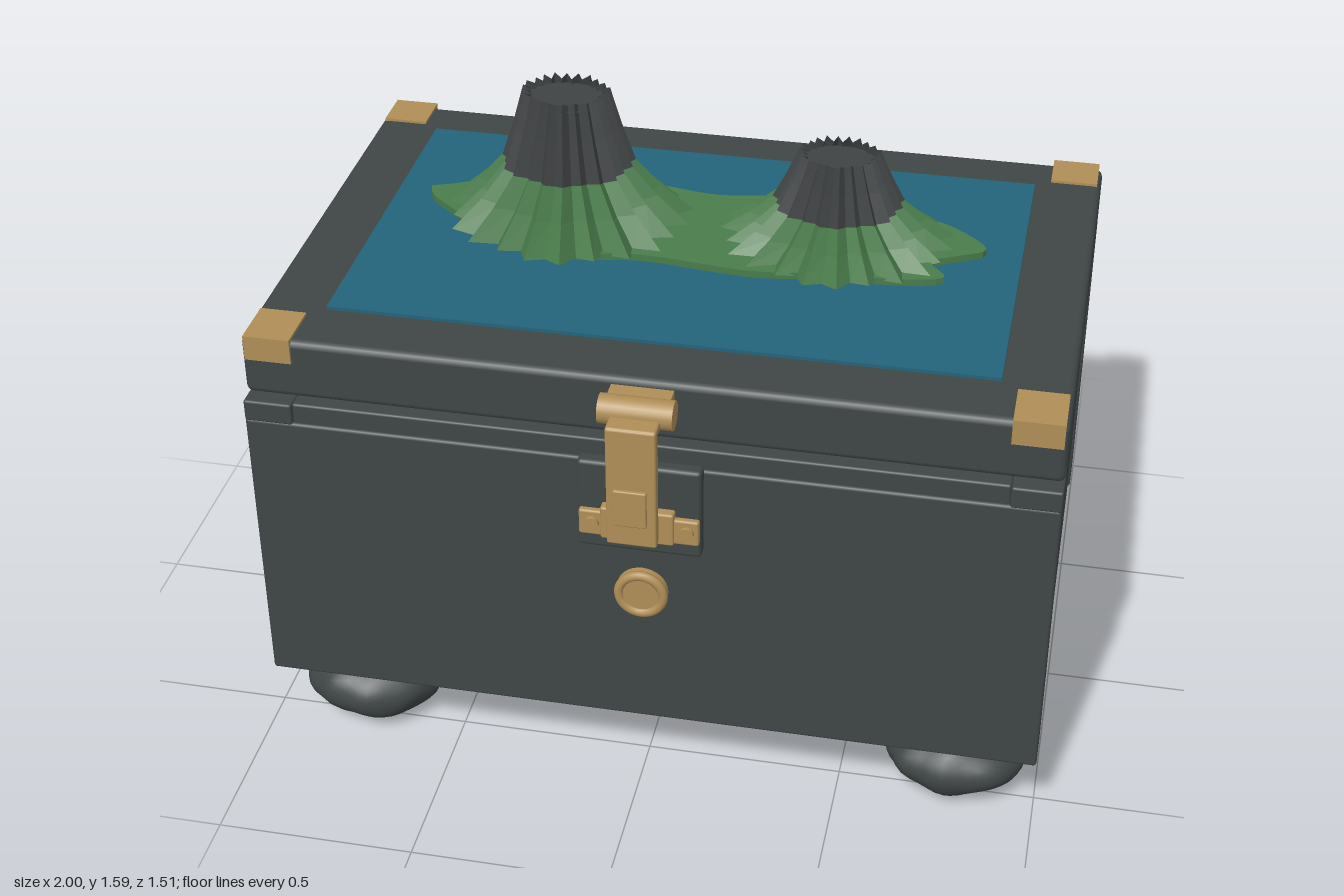
import * as THREE from 'three';
import { mergeVertices } from 'three/addons/utils/BufferGeometryUtils.js';
import { RoundedBoxGeometry } from 'three/addons/geometries/RoundedBoxGeometry.js';

const mat = (name, color, extra = {}) =>
  Object.assign(new THREE.MeshStandardMaterial({ color, ...extra }), { name });

export function createModel() {
  const root = new THREE.Group();
  root.name = 'chest';
  const charcoal = mat('charcoal wood', 0x404646);
  const brass = mat('brass', 0xb08f58);
  const sea = mat('sea blue', 0x24647a);
  const grass = mat('grass green', 0x4a7c4b, { flatShading: true, side: THREE.DoubleSide });
  const rock = mat('rock grey', 0x404344, { flatShading: true, side: THREE.DoubleSide });

  const add = (name, geometry, material, x = 0, y = 0, z = 0) => {
    const m = new THREE.Mesh(geometry, material);
    m.name = name;
    m.position.set(x, y, z);
    root.add(m);
    return m;
  };
  // Box given by its limits, with an optional rounded edge
  const box = (name, material, [x0, x1], [y0, y1], [z0, z1], r = 0) => {
    const s = [x1 - x0, y1 - y0, z1 - z0];
    const g = r ? new RoundedBoxGeometry(...s, 2, r) : new THREE.BoxGeometry(...s);
    return add(name, g, material, (x0 + x1) / 2, (y0 + y1) / 2, (z0 + z1) / 2);
  };
  const L = -0.965, R = 1.0, MID = 0.0175;

  // Chest body made of boards around a hollow
  box('frontBoard', charcoal, [L, R], [0.22, 0.995], [0.53, 0.63], 0.008);
  box('backBoard', charcoal, [L, R], [0.22, 0.995], [-0.675, -0.575], 0.008);
  box('rightBoard', charcoal, [L + 0.006, L + 0.1], [0.22, 0.995], [-0.575, 0.53]);
  box('leftBoard', charcoal, [R - 0.1, R - 0.006], [0.22, 0.995], [-0.575, 0.53]);
  box('floor', charcoal, [L + 0.09, R - 0.09], [0.225, 0.26], [-0.58, 0.535]);
  box('plinth', charcoal, [-0.885, 0.915], [0.185, 0.225], [-0.58, 0.535], 0.008);

  // Rim: four corner blocks with rails between them
  for (const [x0, x1] of [[L, L + 0.12], [R - 0.12, R]]) {
    box('rimCorner', charcoal, [x0, x1], [0.99, 1.047], [0.525, 0.63], 0.006);
    box('rimCorner', charcoal, [x0, x1], [0.99, 1.047], [-0.675, -0.572], 0.006);
    box('rimSideRail', charcoal, [x0 + 0.008, x1 - 0.008], [0.99, 1.047], [-0.562, 0.515], 0.006);
  }
  box('rimFrontRail', charcoal, [L + 0.12, R - 0.12], [0.99, 1.047], [0.53, 0.622], 0.006);
  box('rimBackRail', charcoal, [L + 0.12, R - 0.12], [0.99, 1.047], [-0.667, -0.575], 0.006);

  // Lid with brass corners and a flat sea panel
  box('lid', charcoal, [L, R], [1.055, 1.213], [-0.647, 0.605], 0.018);
  for (const [x0, x1] of [[-0.955, -0.84], [0.87, 0.99]]) {
    box('cornerPlate', brass, [x0, x1], [1.2, 1.22], [0.48, 0.612]);
    box('cornerPlate', brass, [x0, x1], [1.2, 1.22], [-0.655, -0.54]);
    box('cornerFlap', brass, [x0, x1], [1.155, 1.22], [0.59, 0.612]);
    box('cornerFlap', brass, [x0, x1], [1.155, 1.22], [-0.655, -0.63]);
  }
  box('seaPanel', sea, [-0.8, 0.83], [1.205, 1.222], [-0.505, 0.445]);

  // Island outline, drawn in x and z
  const shore = [
    [-0.71, -0.16], [-0.62, -0.2], [-0.5, -0.29], [-0.3, -0.3], [-0.13, -0.28], [0.03, -0.255],
    [0.19, -0.28], [0.4, -0.29], [0.57, -0.24], [0.66, -0.195], [0.74, -0.11], [0.67, -0.06],
    [0.61, -0.02], [0.65, 0.05], [0.53, 0.08], [0.35, 0.09], [0.17, 0.11], [-0.1, 0.085],
    [-0.28, 0.11], [-0.5, 0.06], [-0.61, -0.04], [-0.69, -0.11],
  ].map(([x, z]) => new THREE.Vector2(x, -z));
  const island = new THREE.Shape();
  island.setFromPoints(new THREE.SplineCurve([...shore, shore[0]]).getPoints(88));
  add('island', new THREE.ExtrudeGeometry(island, { depth: 0.02, bevelEnabled: false }), grass, 0, 1.22, 0)
    .rotation.x = -Math.PI / 2;

  // Pleated band through rings of [radius, height, pleat depth]
  const FOLDS = 22;
  const pleats = (rings) => {
    const n = FOLDS * 2, pos = [], idx = [];
    rings.forEach(([r, y, depth]) => {
      for (let i = 0; i < n; i++) {
        const wobble = Math.sin(i * 12.7) * 0.18;
        const a = ((i + wobble) / n) * Math.PI * 2;
        const inner = i % 2;
        const q = r * (1 - (inner ? depth : 0) - 0.04 * (1 + Math.sin(i * 7.3)) * (depth > 0.1 ? 1 : 0.6));
        pos.push(q * Math.cos(a), y - (inner ? depth * 0.06 : 0), q * Math.sin(a) * 0.83);
      }
    });
    for (let k = 0; k < rings.length - 1; k++) for (let i = 0; i < n; i++) {
      const a = k * n + i, b = k * n + ((i + 1) % n);
      idx.push(a, a + n, b, b, a + n, b + n);
    }
    const g = new THREE.BufferGeometry();
    g.setAttribute('position', new THREE.Float32BufferAttribute(pos, 3));
    g.setIndex(idx);
    g.computeVertexNormals();
    return g;
  };
  const mountain = (x, z, foot, waist, waistY, top, topY) => {
    const midY = (1.24 + waistY) / 2;
    const base = [waist, waistY, 0.15];
    add('mountainSlope', pleats([
      [foot, 1.24, 0.16], [waist + (foot - waist) * 0.44, midY, 0.16], base]), grass, x, 0, z);
    add('mountainPeak', pleats([base,
      [(waist + top) * 0.49, (waistY + topY) / 2, 0.15], [top, topY, 0.16]]), rock, x, 0, z);
    const cap = add('mountainCrater', new THREE.CircleGeometry(top * 0.9, 24), rock, x, topY - 0.025, z);
    cap.rotation.x = -Math.PI / 2;
    cap.scale.y = 0.83;
  };
  mountain(-0.325, -0.088, 0.325, 0.175, 1.39, 0.112, 1.592);
  mountain(0.365, -0.09, 0.305, 0.17, 1.345, 0.103, 1.487);

  // Lumpy stone feet
  [[-0.755, 0.455], [0.79, 0.455], [-0.755, -0.5], [0.79, -0.5]].forEach(([x, z], f) => {
    let g = new THREE.IcosahedronGeometry(1, 7);
    g.deleteAttribute('uv');
    g.deleteAttribute('normal');
    g = mergeVertices(g, 1e-4);
    const p = g.attributes.position, v = new THREE.Vector3();
    for (let i = 0; i < p.count; i++) {
      v.fromBufferAttribute(p, i);
      const lump = Math.sin(v.x * 5 + f * 2) * Math.sin(v.y * 4 + f) * Math.sin(v.z * 5.5 + 1)
        + 0.5 * Math.sin(v.x * 9 + v.z * 7 + f * 3);
      v.multiplyScalar(1 + 0.035 * lump);
      p.setXYZ(i, v.x * 0.177, v.y * 0.097, v.z * 0.15);
    }
    g.computeVertexNormals();
    add('foot', g, charcoal, x, 0.102, z);
  });

  // Cylinder along x, and disc facing z
  const barrel = (name, x0, x1, y, z, r) =>
    add(name, new THREE.CylinderGeometry(r, r, x1 - x0, 24), brass, (x0 + x1) / 2, y, z)
      .rotation.z = Math.PI / 2;
  const disc = (name, x, y, z, r, depth, material = brass) =>
    add(name, new THREE.CylinderGeometry(r, r, depth, 32), material, x, y, z)
      .rotation.x = Math.PI / 2;

  // Front clasp
  box('claspBackplate', charcoal, [-0.135, 0.165], [0.76, 1.007], [0.62, 0.66], 0.01);
  barrel('claspBarrel', -0.075, 0.103, 1.165, 0.663, 0.036);
  box('claspMount', brass, [-0.06, 0.09], [1.135, 1.195], [0.6, 0.65]);
  box('claspArm', brass, [-0.045, 0.075], [1.142, 1.167], [0.66, 0.745], 0.006);
  box('claspStrap', brass, [-0.045, 0.075], [0.84, 1.165], [0.717, 0.747], 0.006);
  box('claspTab', brass, [-0.027, 0.053], [0.9, 1.0], [0.735, 0.756], 0.004);
  box('claspCatch', brass, [-0.075, 0.103], [0.805, 0.895], [0.655, 0.685], 0.006);
  box('claspFoot', brass, [-0.13, 0.162], [0.805, 0.875], [0.655, 0.675], 0.006);
  for (const s of [-1, 1]) disc('claspScrew', MID + s * 0.115, 0.842, 0.678, 0.018, 0.016);

  // Round lock below the clasp
  disc('lockDisc', 0.015, 0.625, 0.64, 0.064, 0.03);
  add('lockRing', new THREE.TorusGeometry(0.055, 0.012, 10, 36), brass, 0.015, 0.625, 0.652);

  // Rear hinges
  for (const x of [-0.58, 0.61]) {
    barrel('hingeBarrel', x - 0.11, x + 0.11, 1.045, -0.718, 0.038);
    box('hingeUpperLeaf', brass, [x - 0.073, x + 0.073], [1.05, 1.14], [-0.725, -0.64], 0.006);
    box('hingeLowerLeaf', brass, [x - 0.073, x + 0.073], [0.815, 1.04], [-0.702, -0.67], 0.005);
  }

  // Hanging ring on the model's right side
  const stud = add('ringStud', new THREE.CylinderGeometry(0.036, 0.04, 0.03, 24), brass, -0.968, 0.722, -0.025);
  stud.rotation.z = Math.PI / 2;
  const ring = add('hangingRing', new THREE.TorusGeometry(0.06, 0.011, 10, 36), brass, -0.988, 0.648, -0.025);
  ring.rotation.y = Math.PI / 2;

  return root;
}
